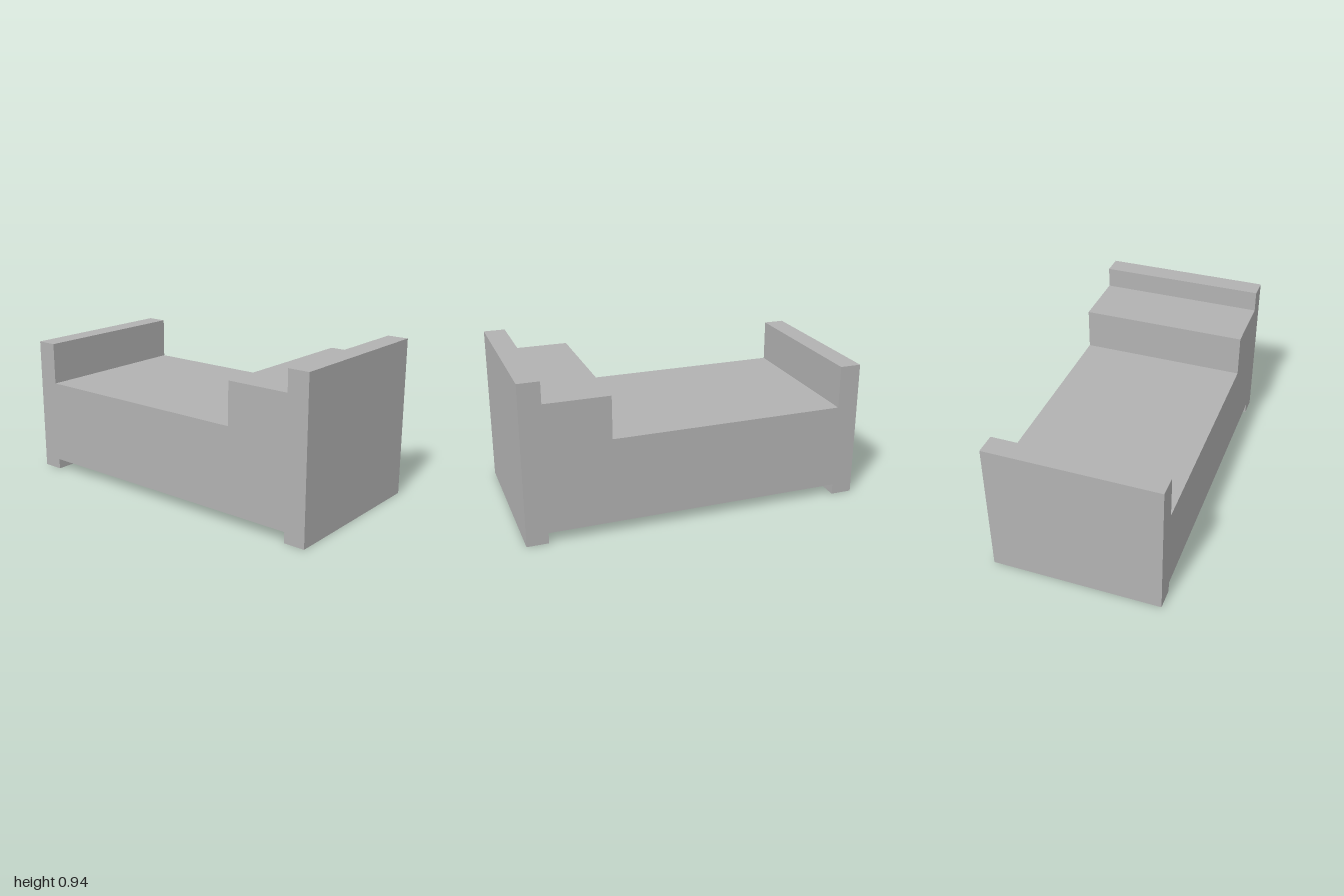
import * as THREE from 'three';

export function createModel() {
  const model = new THREE.Group();
  model.name = 'bed';

  const grey = new THREE.MeshStandardMaterial({ color: 0xb2b2b2 });
  grey.name = 'plain grey';

  const width = 1;

  // Full-width block spanning y0..y1 and z0..z1
  function addBlock(name, y0, y1, z0, z1) {
    const mesh = new THREE.Mesh(new THREE.BoxGeometry(width, y1 - y0, z1 - z0), grey);
    mesh.name = name;
    mesh.position.set(0, (y0 + y1) / 2, (z0 + z1) / 2);
    model.add(mesh);
  }

  // End boards reach the floor and carry the mattress between them
  addBlock('headboard', 0, 0.9375, 0.875, 1);
  addBlock('footboard', 0, 0.8125, -1, -0.875);
  addBlock('mattress', 0.0625, 0.5625, -0.875, 0.875);

  // Pillow rests against the headboard
  addBlock('pillow', 0.5625, 0.8125, 0.5, 0.875);

  return model;
}
